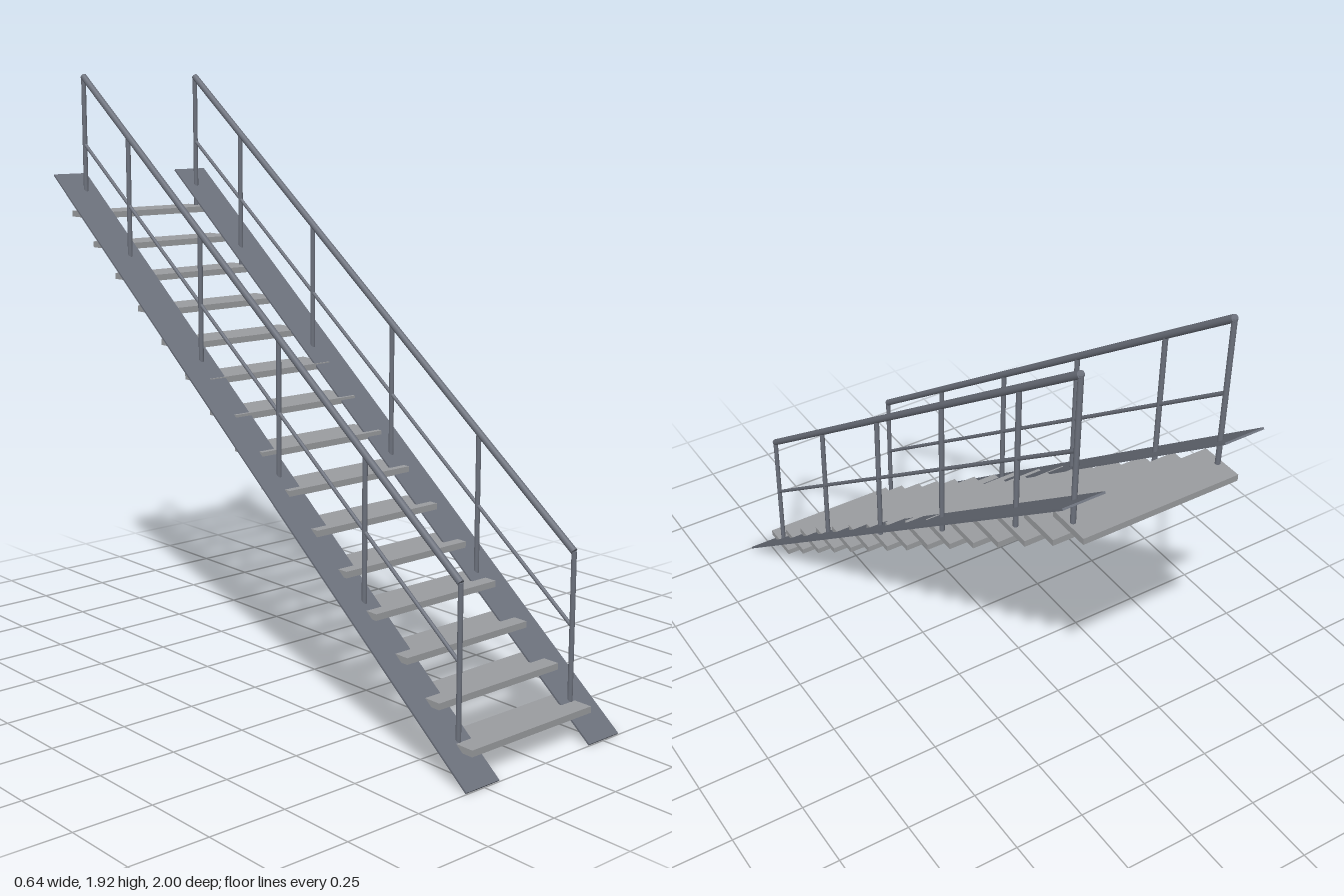
import * as THREE from 'three';

const TREADS = 15;
const RAIL_X = 0.235;
const RAIL_H = 0.468;

export function createModel() {
  const steel = new THREE.MeshStandardMaterial({ color: 0x6b707b });
  steel.name = 'blue grey steel';
  const plate = new THREE.MeshStandardMaterial({ color: 0x9a9c9f });
  plate.name = 'light grey tread';

  const model = new THREE.Group();
  model.name = 'staircase';

  const add = (name, geometry, material, parent = model) => {
    const mesh = new THREE.Mesh(geometry, material);
    mesh.name = name;
    parent.add(mesh);
    return mesh;
  };

  // Centre of each tread, climbing towards the back
  const treadAt = (i) => new THREE.Vector3(0, 0.082 + i * 0.0972, 0.884 - i * 0.1296);

  // Round bar between two points
  const bar = (name, a, b, radius, parent) => {
    const mesh = add(name, new THREE.CylinderGeometry(radius, radius, a.distanceTo(b), 12), steel, parent);
    mesh.position.copy(a).add(b).multiplyScalar(0.5);
    mesh.quaternion.setFromUnitVectors(new THREE.Vector3(0, 1, 0), b.clone().sub(a).normalize());
  };

  // Open treads
  const treadGeometry = new THREE.BoxGeometry(0.5, 0.02, 0.136);
  for (let i = 0; i < TREADS; i++) add('tread', treadGeometry, plate).position.copy(treadAt(i));

  for (const [side, s] of [['left', 1], ['right', -1]]) {
    // Sloping flat stringer
    const foot = new THREE.Vector3(0, 0.003, 0.998);
    const head = new THREE.Vector3(0, 1.578, -0.998);
    const stringer = add(side + 'Stringer', new THREE.BoxGeometry(0.13, 0.006, foot.distanceTo(head)), steel);
    stringer.position.set(s * 0.255, (foot.y + head.y) / 2, 0);
    stringer.rotation.x = Math.atan2(head.y - foot.y, foot.z - head.z);

    // Handrail, middle rail and posts
    const railing = new THREE.Group();
    railing.name = side + 'Railing';
    model.add(railing);
    const at = (i, h) => treadAt(i).add(new THREE.Vector3(s * RAIL_X, h, 0));
    const last = TREADS - 1;
    bar('handrail', at(0, RAIL_H), at(last, RAIL_H), 0.011, railing);
    bar('middleRail', at(0, 0.24), at(last, 0.24), 0.006, railing);
    for (const i of [0, 3, 6, 9, 12, last]) bar('post', at(i, 0.01), at(i, RAIL_H), 0.008, railing);
  }

  return model;
}
